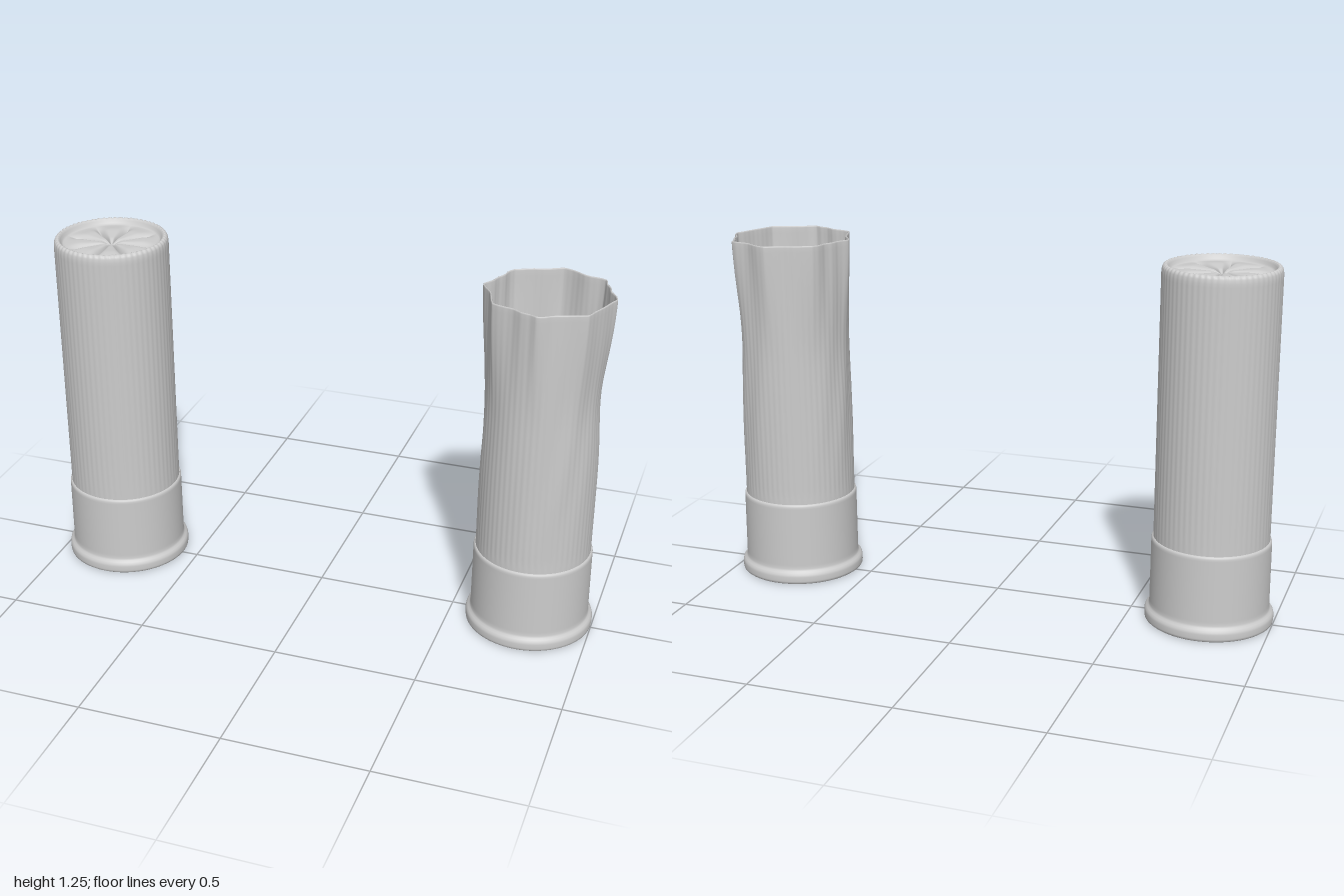
import * as THREE from 'three';
import { mergeVertices } from 'three/addons/utils/BufferGeometryUtils.js';

const material = new THREE.MeshStandardMaterial({ color: 0xcccccc, roughness: 0.6, side: THREE.DoubleSide });
const smooth = THREE.MathUtils.smoothstep;
const RIBS = 60;
const SEGMENTS = 300;

// Lathe a profile of [radius, y] points, then move each vertex by a rule.
function turned(name, profile, rule) {
  const geometry = new THREE.LatheGeometry(profile.map(([r, y]) => new THREE.Vector2(r, y)), rule ? SEGMENTS : 96);
  if (!rule) return named(name, geometry);
  geometry.deleteAttribute('uv');
  geometry.deleteAttribute('normal');
  const pos = geometry.attributes.position;
  for (let i = 0; i < pos.count; i++) {
    const angle = Math.atan2(pos.getX(i), pos.getZ(i));
    const [r, y] = rule(Math.hypot(pos.getX(i), pos.getZ(i)), pos.getY(i), angle);
    pos.setXYZ(i, r * Math.sin(angle), y, r * Math.cos(angle));
  }
  const merged = mergeVertices(geometry, 1e-5);
  merged.computeVertexNormals();
  return named(name, merged);
}

function named(name, geometry) {
  const mesh = new THREE.Mesh(geometry, material);
  mesh.name = name;
  return mesh;
}

// Evenly spaced points up (or down) a straight wall.
function wall(radius, from, to, steps) {
  return Array.from({ length: steps + 1 }, (_, i) => [radius, from + (to - from) * i / steps]);
}

// Metal head: primer, ring groove, flat base, rolled rim, straight cup and rounded upper lip.
function metalHead() {
  return turned('metalHead', [
    [0, 0.008], [0.062, 0.008], [0.067, 0.010], [0.070, 0.020], [0.073, 0.022],
    [0.084, 0.022], [0.092, 0.018], [0.099, 0.008], [0.106, 0.004], [0.112, 0.003],
    [0.205, 0.003], [0.210, 0.000], [0.217, 0.001], [0.222, 0.005], [0.223, 0.012],
    [0.223, 0.028], [0.221, 0.036], [0.216, 0.043], [0.210, 0.048], [0.2075, 0.055],
    [0.207, 0.065], [0.207, 0.07], [0.206, 0.285], [0.206, 0.292], [0.204, 0.298], [0.200, 0.301], [0.196, 0.301],
  ]);
}

// Fine flutes that fade out just above the metal head.
function flute(y, angle) {
  return -0.0013 * (0.5 + 0.5 * Math.cos(angle * RIBS)) * smooth(y, 0.30, 0.34);
}

// Closed hull whose top is folded into an eight-pleat star.
function closedHull() {
  const crown = [
    [0.1995, 1.222], [0.198, 1.235], [0.195, 1.243], [0.190, 1.248], [0.185, 1.249],
    [0.180, 1.246], [0.176, 1.240], [0.172, 1.232], [0.167, 1.227],
  ];
  for (let i = 1; i <= 20; i++) {
    const r = 0.167 * (1 - i / 20);
    crown.push([r, 1.227 - 0.014 * (1 - r / 0.167)]);
  }
  return turned('closedHull', [...wall(0.1995, 0.285, 1.21, 12), ...crown], (r, y, angle) => {
    if (r > 0.183) return [r + flute(y, angle), y + (y > 1.24 ? 2 * flute(y, angle) : 0)];
    // Slightly lopsided creases, deepest halfway out.
    const swirl = angle + 0.10 * Math.sin(8 * angle);
    const crease = Math.pow(Math.abs(Math.cos(4 * swirl + Math.PI / 2)), 0.8);
    const window = smooth(r, 0, 0.04) * (1 - smooth(r, 0.10, 0.172));
    return [r, y + window * (0.010 - 0.026 * (1 - crease))];
  });
}

// Opened hull: thin wall, flared and pleated mouth, a dent and long wrinkles.
function openHull() {
  const profile = [
    ...wall(0.1995, 0.285, 1.243, 56), [0.1985, 1.247], [0.1965, 1.248],
    [0.1945, 1.247], ...wall(0.1935, 1.243, 0.05, 60),
  ];
  return turned('openHull', profile, (r, y, angle) => {
    const mouth = smooth(y, 0.82, 1.27);
    const body = smooth(y, 0.32, 0.6);
    const pleat = 1 - Math.abs(Math.sin(4 * angle));
    const side = Math.sin(angle);
    const bump = (centre, width) => Math.exp(-(((y - centre) / width) ** 2));
    const dent = -0.013 * bump(0.9, 0.17) * Math.max(side, 0) ** 3
      - 0.006 * bump(0.85, 0.2) * Math.max(-side, 0) ** 2;
    const drift = angle + 0.18 * Math.sin(y * 4.5);
    const wrinkle = 0.0022 * body * Math.sin(11 * drift + 1) * (0.5 + 0.5 * Math.sin(3 * drift))
      + 0.0025 * mouth * Math.sin(13 * angle + 2 * Math.sin(3 * angle));
    const flare = mouth * (0.001 + 0.019 * pleat);
    return [r + flute(y, angle) * (1 - 0.6 * mouth) + dent + wrinkle + flare, y];
  });
}

export function createModel() {
  const model = new THREE.Group();
  model.name = 'cartridgePair';
  [['closedCartridge', closedHull, -0.777], ['openCartridge', openHull, 0.777]].forEach(([name, hull, x]) => {
    const cartridge = new THREE.Group();
    cartridge.name = name;
    cartridge.add(metalHead(), hull());
    cartridge.position.x = x;
    model.add(cartridge);
  });
  return model;
}
